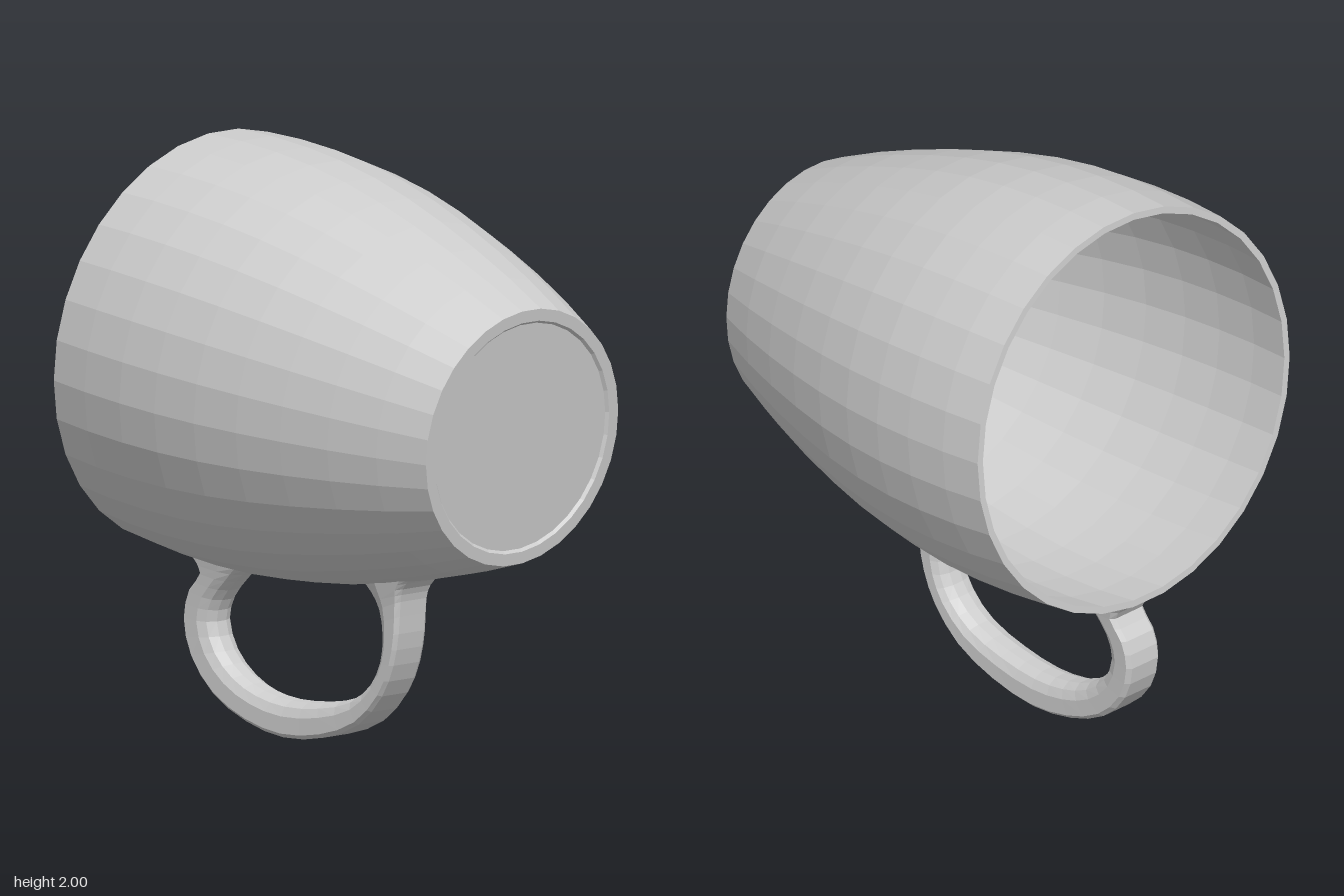
import * as THREE from 'three';

// Handle stations: outer edge x, y, inner edge x, y, half width
const STATIONS = [
  [-0.79, 0.605, -0.46, 0.57, 0.085],
  [-0.76, 0.565, -0.52, 0.54, 0.08],
  [-0.72, 0.51, -0.59, 0.49, 0.074],
  [-0.775, 0.445, -0.655, 0.42, 0.073],
  [-0.80, 0.35, -0.68, 0.345, 0.073],
  [-0.765, 0.225, -0.64, 0.25, 0.073],
  [-0.66, 0.11, -0.555, 0.18, 0.073],
  [-0.50, 0.035, -0.45, 0.14, 0.073],
  [-0.32, 0.003, -0.32, 0.123, 0.073],
  [-0.13, 0.025, -0.16, 0.135, 0.073],
  [0.04, 0.09, -0.01, 0.17, 0.073],
  [0.155, 0.20, 0.085, 0.235, 0.073],
  [0.21, 0.31, 0.13, 0.31, 0.073],
  [0.235, 0.42, 0.14, 0.40, 0.073],
  [0.245, 0.53, 0.12, 0.485, 0.074],
  [0.26, 0.575, 0.08, 0.54, 0.08],
  [0.30, 0.615, 0.03, 0.575, 0.085],
];

// Cross-section: (0 = outer .. 1 = inner, side -1..1), flat outside and rounder inside
const HALF_SECTION = [[0, 0.8], [0.12, 1], [0.6, 0.97], [0.86, 0.75], [1, 0.3]];
const SECTION = [...HALF_SECTION, ...HALF_SECTION.map(([t, side]) => [t, -side]).reverse()];

function handleGeometry(steps) {
  // Edge curves with the half width carried in z
  const outer = new THREE.CatmullRomCurve3(STATIONS.map(([x, y, , , w]) => new THREE.Vector3(x, y, w)));
  const inner = new THREE.CatmullRomCurve3(STATIONS.map(([, , x, y, w]) => new THREE.Vector3(x, y, w)));
  const positions = [], indices = [], n = SECTION.length;
  for (let i = 0; i <= steps; i++) {
    const o = outer.getPoint(i / steps), p = inner.getPoint(i / steps);
    for (const [t, side] of SECTION) {
      positions.push(o.x + (p.x - o.x) * t, o.y + (p.y - o.y) * t, side * o.z);
    }
  }
  for (let i = 0; i < steps; i++) {
    for (let j = 0; j < n; j++) {
      const a = i * n + j, b = i * n + (j + 1) % n;
      indices.push(a, a + n, b, b, a + n, b + n);
    }
  }
  const geometry = new THREE.BufferGeometry();
  geometry.setAttribute('position', new THREE.Float32BufferAttribute(positions, 3));
  geometry.setIndex(indices);
  geometry.computeVertexNormals();
  return geometry;
}

export function createModel() {
  const model = new THREE.Group();
  model.name = 'mug';
  const ceramic = new THREE.MeshStandardMaterial({ color: 0xcccccc, flatShading: true, side: THREE.DoubleSide });
  ceramic.name = 'grey ceramic';

  // Outer wall as [radius, distance from foot]
  const wall = [
    [0.44, 0], [0.507, 0.17], [0.566, 0.345], [0.617, 0.52], [0.659, 0.69],
    [0.691, 0.86], [0.711, 1.03], [0.719, 1.19], [0.718, 1.36], [0.707, 1.52],
  ];
  // Recessed foot, outer wall, rim, inner wall and floor
  const inside = wall.slice(1).reverse().map(([r, s]) => [r - 0.024, s]);
  const profile = [
    [0, 0.01], [0.39, 0.01], [0.399, 0], ...wall, ...inside, [0.43, 0.04], [0, 0.04],
  ].map(([r, s]) => new THREE.Vector2(r, s));
  const sides = 32;
  const cup = new THREE.Mesh(new THREE.LatheGeometry(profile, sides, Math.PI / sides), ceramic);
  cup.name = 'cup';
  cup.position.set(0.768, 1.143, 0);
  cup.rotation.z = THREE.MathUtils.degToRad(84.1);
  model.add(cup);

  // Looped handle under the tipped cup
  const handle = new THREE.Mesh(handleGeometry(32), ceramic);
  handle.name = 'handle';
  model.add(handle);
  return model;
}
